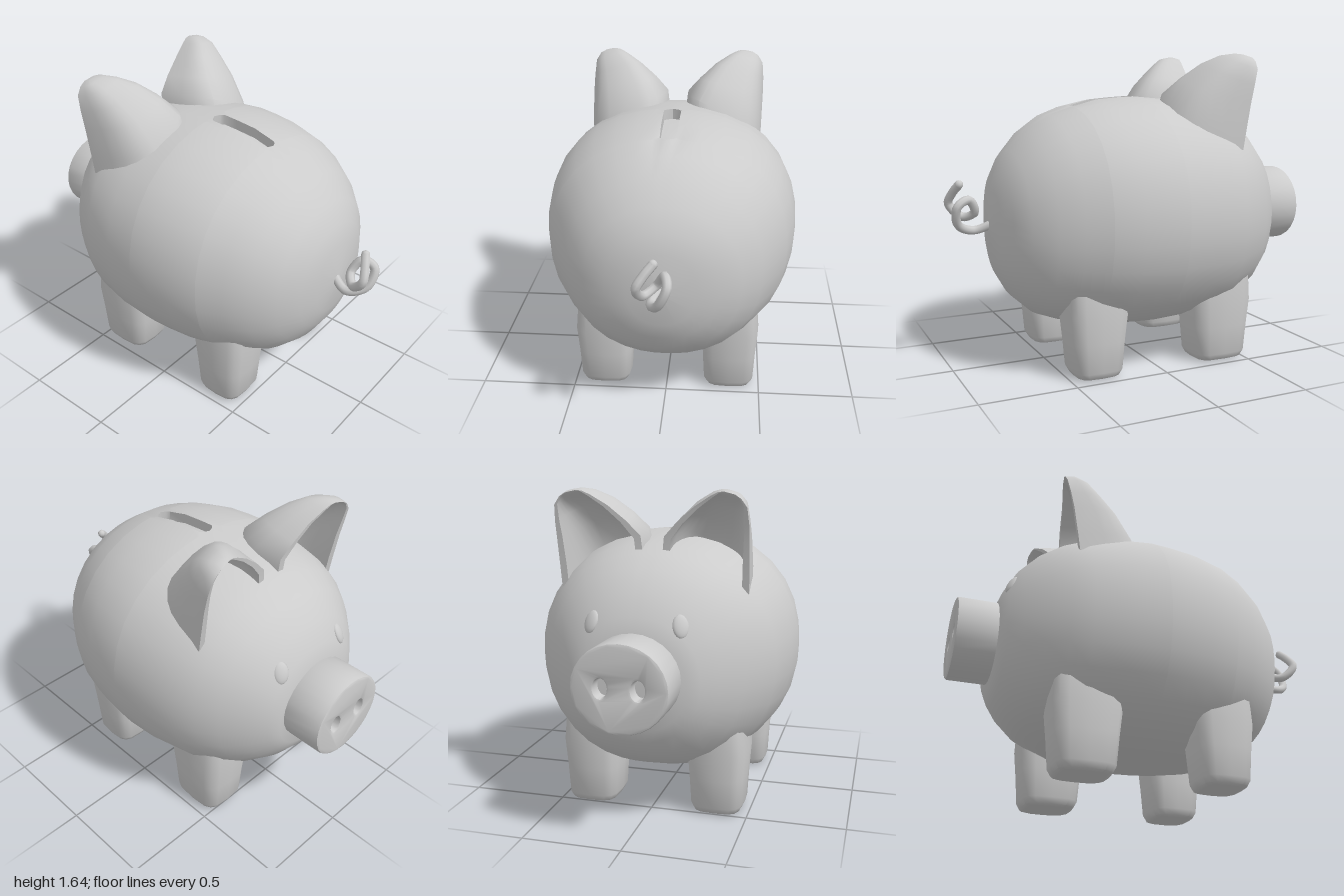
import * as THREE from 'three';
import { toCreasedNormals } from 'three/addons/utils/BufferGeometryUtils.js';

const V = (x, y, z) => new THREE.Vector3(x, y, z);
const lerp = THREE.MathUtils.lerp;
const material = new THREE.MeshStandardMaterial({ color: 0xcccccc, roughness: 0.8 });

function add(group, name, geometry, crease = 0.7) {
  const mesh = new THREE.Mesh(crease ? toCreasedNormals(geometry, crease) : geometry, material);
  mesh.name = name;
  group.add(mesh);
  return mesh;
}

// Closed solid through rings of equal point count, capped at both ends, always facing outward
function loft(rings) {
  const n = rings[0].length, last = rings.length - 1;
  const pts = rings.flat(), tris = [];
  for (let r = 0; r < last; r++) {
    for (let i = 0; i < n; i++) {
      const a = r * n + i, b = r * n + (i + 1) % n;
      tris.push([a, b, b + n], [a, b + n, a + n]);
    }
  }
  for (const r of [0, last]) {
    const mid = V(0, 0, 0);
    rings[r].forEach(p => mid.addScaledVector(p, 1 / n));
    const c = pts.push(mid) - 1;
    for (let i = 0; i < n; i++) {
      const a = r * n + i, b = r * n + (i + 1) % n;
      tris.push(r ? [c, a, b] : [c, b, a]);
    }
  }
  let volume = 0;
  for (const [a, b, c] of tris) volume += pts[a].dot(pts[b].clone().cross(pts[c]));
  if (volume < 0) tris.forEach(t => t.reverse());
  const g = new THREE.BufferGeometry().setFromPoints(pts);
  g.setIndex(tris.flat());
  return g;
}

// Body stations: z, half width, top, bottom
const stations = [
  [0.79, 0.02, 0.77, 0.73], [0.77, 0.17, 0.95, 0.57], [0.74, 0.28, 1.05, 0.48],
  [0.68, 0.39, 1.15, 0.38], [0.58, 0.49, 1.26, 0.29], [0.47, 0.56, 1.335, 0.25],
  [0.35, 0.62, 1.38, 0.22], [0.2, 0.66, 1.412, 0.2], [0, 0.685, 1.43, 0.19],
  [-0.2, 0.67, 1.412, 0.2], [-0.4, 0.62, 1.375, 0.22], [-0.5, 0.57, 1.34, 0.26],
  [-0.6, 0.5, 1.28, 0.3], [-0.7, 0.4, 1.18, 0.38], [-0.76, 0.32, 1.07, 0.46],
  [-0.79, 0.26, 0.99, 0.52],
];

function stationAt(z) {
  let i = 0;
  while (i < stations.length - 2 && stations[i + 1][0] > z) i++;
  const [a, b] = [stations[i], stations[i + 1]];
  const t = (z - a[0]) / (b[0] - a[0]);
  return a.map((v, k) => lerp(v, b[k], t));
}

function bodyGeometry() {
  const slotFront = -0.03, slotBack = 0.35, slotU = 0.066, edgeU = 0.0667;
  const half = [0.992, 0.95, 0.87, 0.75, 0.6, 0.42, 0.25, 0.12, edgeU, slotU, 0.045];
  const upper = [-1, ...half.map(u => -u), 0, ...[...half].reverse(), 1];
  const lower = [...half.slice(0, 8), 0, ...half.slice(0, 8).reverse().map(u => -u)];
  const zs = stations.map(s => s[0]).filter(z => z !== slotBack && z !== 0);
  zs.push(slotBack, slotBack + 0.0006, slotFront, slotFront - 0.0006, 0.08);
  zs.sort((a, b) => b - a);
  return loft(zs.map(z => {
    const [, w, top, bottom] = stationAt(z);
    const mid = (top + bottom) / 2, h = (top - bottom) / 2;
    const point = (u, sign) => V(u * w, mid + sign * h * Math.pow(1 - Math.abs(u) ** 2.2, 1 / 2.2), z);
    const ring = [];
    for (const u of upper) {
      const p = point(u, 1), a = Math.abs(u);
      // Sunken coin slot with rounded ends
      if (a <= slotU && z >= slotFront && z <= slotBack) p.y -= 0.055;
      if (a <= edgeU) {
        const round = 0.03 * (a / edgeU) ** 2;
        if (Math.abs(z - slotFront) < 0.001) p.z += round;
        if (Math.abs(z - slotBack) < 0.001) p.z -= round;
      }
      ring.push(p);
    }
    for (const u of lower) ring.push(point(u, -1));
    return ring;
  }));
}

// Stubby leg with rounded-square section: y, half x, half z
function legGeometry(x, z, dz) {
  const rows = [[0.01, 0.1, dz - 0.045], [0.018, 0.122, dz - 0.02], [0.05, 0.137, dz - 0.003],
    [0.2, 0.145, dz + 0.01], [0.34, 0.155, dz + 0.025], [0.5, 0.14, dz + 0.02]];
  return loft(rows.map(([y, rx, rz]) => Array.from({ length: 16 }, (_, i) => {
    const a = i / 16 * Math.PI * 2, c = Math.cos(a), s = Math.sin(a);
    return V(x + rx * Math.sign(c) * Math.abs(c) ** 0.55, y, z + rz * Math.sign(s) * Math.abs(s) ** 0.55);
  })));
}

// Cupped ear: inner edge, outer edge and back of each section, plus hollow depth
function earGeometry(side) {
  const sections = [
    [V(0.05, 1.33, -0.455), V(0.485, 1.15, -0.45), V(0.26, 1.28, -0.09), 0.8],
    [V(0.06, 1.42, -0.46), V(0.487, 1.25, -0.465), V(0.27, 1.39, -0.12), 0.8],
    [V(0.13, 1.495, -0.475), V(0.49, 1.4, -0.49), V(0.3, 1.5, -0.215), 0.78],
    [V(0.22, 1.57, -0.49), V(0.49, 1.49, -0.51), V(0.34, 1.58, -0.31), 0.72],
    [V(0.3, 1.62, -0.51), V(0.483, 1.57, -0.53), V(0.38, 1.63, -0.39), 0.5],
    [V(0.34, 1.64, -0.52), V(0.455, 1.61, -0.535), V(0.4, 1.645, -0.46), 0.1],
    [V(0.37, 1.643, -0.525), V(0.425, 1.63, -0.535), V(0.4, 1.645, -0.5), 0],
  ];
  const steps = 12;
  return loft(sections.map(([inner, outer, back, hollow]) => {
    const mid = inner.clone().add(outer).multiplyScalar(0.5);
    const across = outer.clone().sub(mid), bulge = back.clone().sub(mid);
    const arc = (width, depth) => Array.from({ length: steps + 1 }, (_, i) => {
      const a = i / steps * Math.PI, c = Math.cos(a), s = Math.abs(Math.sin(a));
      const p = mid.clone().addScaledVector(across, width * Math.sign(c) * Math.abs(c) ** 0.65)
        .addScaledVector(bulge, depth * s ** 0.65);
      p.x *= side;
      return p;
    });
    return [...arc(1, 1), ...arc(0.84, hollow).reverse()];
  }));
}

// Snout disc with two nostril holes
function snoutGeometry() {
  const shape = new THREE.Shape().absellipse(0, 0, 0.222, 0.202, 0, Math.PI * 2);
  for (const s of [-1, 1]) {
    shape.holes.push(new THREE.Path().absellipse(s * 0.09, 0, 0.046, 0.06, 0, Math.PI * 2));
  }
  return new THREE.ExtrudeGeometry(shape, {
    depth: 0.23, curveSegments: 14, bevelThickness: 0.013, bevelSize: 0.013, bevelSegments: 2,
  });
}

export function createModel() {
  const pig = new THREE.Group();
  pig.name = 'piggyBank';
  add(pig, 'body', bodyGeometry(), 0.75);

  // Snout and the floors of the nostrils
  add(pig, 'snout', snoutGeometry(), 0.6).position.set(0, 0.785, -0.987);
  const floor = new THREE.CylinderGeometry(0.2, 0.2, 0.1, 24).rotateX(Math.PI / 2);
  add(pig, 'nostrilFloor', floor).position.set(0, 0.785, -0.88);

  // Paired parts
  for (const s of [-1, 1]) {
    const side = s > 0 ? 'Left' : 'Right';
    add(pig, 'ear' + side, earGeometry(s), 0.8);
    add(pig, 'snoutLeg' + side, legGeometry(s * 0.335, -0.37, 0.157), 0.8);
    add(pig, 'tailLeg' + side, legGeometry(s * 0.335, 0.345, 0.137), 0.8);
    const eye = add(pig, 'eye' + side, new THREE.SphereGeometry(1, 16, 10), 0);
    eye.scale.set(0.04, 0.058, 0.018);
    eye.position.set(s * 0.22, 1.035, -0.738);
    eye.lookAt(s * 0.22 + s * 0.4, 1.035 + 0.4, -0.738 - 0.83);
  }

  // Curly tail
  const path = new THREE.CatmullRomCurve3([
    V(0, 0.78, 0.75), V(-0.04, 0.74, 0.86), V(0, 0.78, 0.95), V(0.045, 0.88, 0.96), V(0.03, 0.91, 0.9),
    V(-0.01, 0.84, 0.86), V(-0.07, 0.81, 0.91), V(-0.095, 0.88, 0.975), V(-0.06, 0.94, 0.96), V(-0.02, 0.985, 0.935),
  ]);
  add(pig, 'tail', new THREE.TubeGeometry(path, 60, 0.023, 8), 0);
  const tip = add(pig, 'tailTip', new THREE.SphereGeometry(0.023, 8, 6), 0);
  tip.position.set(-0.02, 0.985, 0.935);
  return pig;
}
